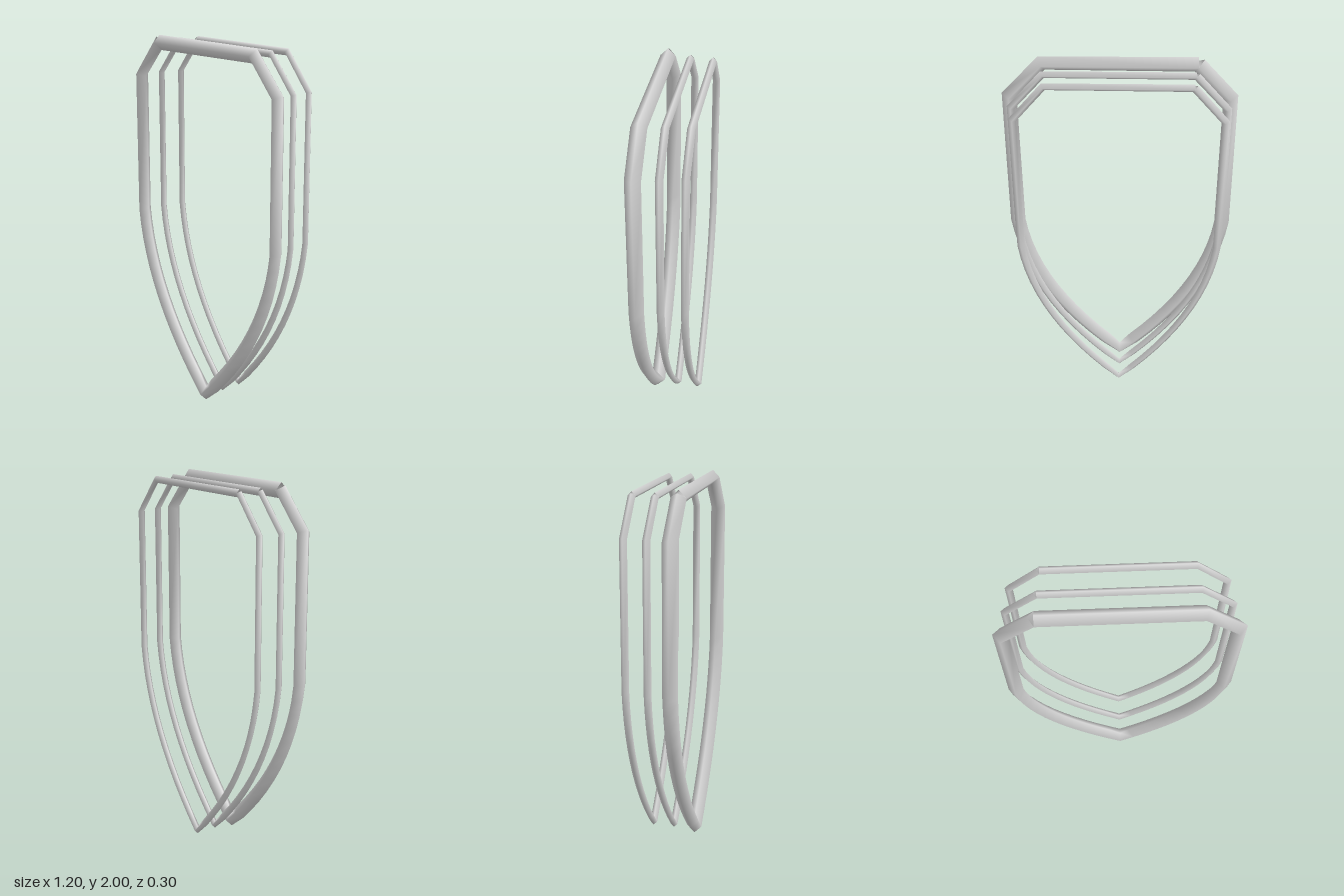
import * as THREE from 'three';

// Curve that visits each point of a polyline exactly, with averaged tangents at corners
class Polyline extends THREE.Curve {
  constructor(points) {
    super();
    this.points = points;
  }
  getPointAt(u, target = new THREE.Vector3()) {
    return target.copy(this.points[Math.round(u * (this.points.length - 1))]);
  }
  getTangentAt(u, target = new THREE.Vector3()) {
    const p = this.points, i = Math.round(u * (p.length - 1));
    target.set(0, 0, 0);
    if (i > 0) target.add(p[i].clone().sub(p[i - 1]).normalize());
    if (i < p.length - 1) target.add(p[i + 1].clone().sub(p[i]).normalize());
    return target.normalize();
  }
}

// Shield outline: top bar, cut corner, straight side, curve to the tip, then back up
function outline(width) {
  const tip = new THREE.Vector2(0, 0.04);
  const side = new THREE.Vector2(0.56, 1);
  const curve = new THREE.QuadraticBezierCurve(side, new THREE.Vector2(0.5, 0.5), tip);
  const right = [
    new THREE.Vector2(0.39, 1.96),
    new THREE.Vector2(0.56, 1.775),
    ...curve.getPoints(12),
  ];
  const left = right.slice(0, -1).reverse().map((p) => new THREE.Vector2(-p.x, p.y));
  const start = new THREE.Vector2(-0.39, 1.96);
  return [start, ...right, ...left].map((p) => new THREE.Vector3(p.x * width, p.y, 0));
}

export function createModel() {
  const group = new THREE.Group();
  group.name = 'shieldFrames';
  const grey = new THREE.MeshStandardMaterial({ color: 0xd6d6d6, side: THREE.DoubleSide });
  grey.name = 'lightGrey';

  // Three open rims, narrowing toward the back
  const rims = [
    ['frontRim', 1, 0.04, 0.11],
    ['middleRim', 0.965, 0.02, -0.01],
    ['backRim', 0.93, 0.02, -0.13],
  ];
  for (const [name, width, radius, z] of rims) {
    const points = outline(width);
    const tube = new THREE.TubeGeometry(new Polyline(points), points.length - 1, radius, 4, false);
    const rim = new THREE.Mesh(tube, grey);
    rim.name = name;
    rim.position.z = z;
    group.add(rim);
  }
  return group;
}
